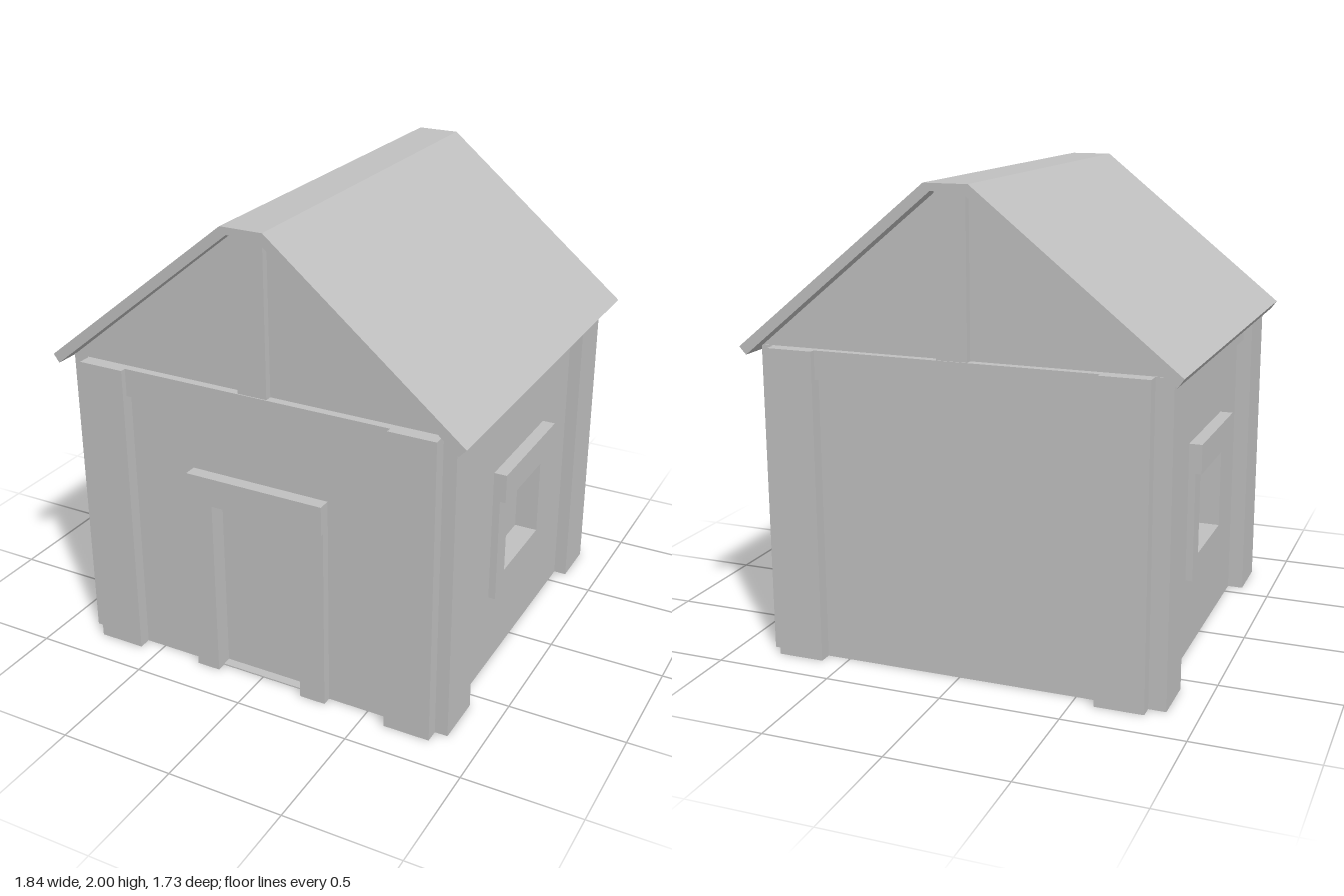
import * as THREE from 'three';

export function createModel() {
  const house = new THREE.Group();
  house.name = 'house';
  const gray = new THREE.MeshStandardMaterial({ color: 0xc0c0c0 });
  gray.name = 'plain gray';

  const add = (name, geometry, parent = house) => {
    const mesh = new THREE.Mesh(geometry, gray);
    mesh.name = name;
    parent.add(mesh);
    return mesh;
  };
  // Box given by its two opposite corners
  const block = (name, x0, x1, y0, y1, z0, z1, parent) => {
    const g = new THREE.BoxGeometry(x1 - x0, y1 - y0, z1 - z0);
    g.translate((x0 + x1) / 2, (y0 + y1) / 2, (z0 + z1) / 2);
    return add(name, g, parent);
  };
  const points = (list) => list.map(([x, y]) => new THREE.Vector2(x, y));
  const rect = (x0, x1, y0, y1) => points([[x0, y0], [x1, y0], [x1, y1], [x0, y1]]);
  // Extruded outline from z0 to z1, with an optional hole
  const slab = (name, outline, z0, z1, hole, parent) => {
    const shape = new THREE.Shape(outline);
    if (hole) shape.holes.push(new THREE.Path(hole));
    const g = new THREE.ExtrudeGeometry(shape, { depth: z1 - z0, bevelEnabled: false });
    g.translate(0, 0, z0);
    return add(name, g, parent);
  };

  const W = 0.8, H = 1.32;

  // Inner core closes the door and window recesses
  block('innerRoom', -0.73, 0.73, 0, H, -0.76, 0.76);
  block('floor', -W, W, 0, 0.006, -W, W);

  // Front wall with a door notch, plain back wall
  slab('frontWall', points([[-W, 0], [-0.195, 0], [-0.195, 0.805], [0.205, 0.805],
    [0.205, 0], [W, 0], [W, H], [-W, H]]), 0.76, W);
  block('backWall', -W, W, 0, H, -W, -0.76);

  // Door frame
  block('doorJambRight', -0.3, -0.195, 0, 0.805, W, 0.84);
  block('doorJambLeft', 0.205, 0.32, 0, 0.805, W, 0.84);
  block('doorHeader', -0.3, 0.32, 0.805, 0.93, W, 0.855);

  // Corner boards, beam and gable post on front and back
  for (const s of [1, -1]) {
    const end = new THREE.Group();
    end.name = s > 0 ? 'frontTrim' : 'backTrim';
    house.add(end);
    const face = (name, x0, x1, y0, y1, d0, d1) =>
      block(name, x0, x1, y0, y1, Math.min(s * d0, s * d1), Math.max(s * d0, s * d1), end);
    face('cornerBoardRight', -0.795, -0.59, 0, H, W, 0.855);
    face('cornerBoardLeft', 0.6, W, 0, H, W, 0.855);
    face('topBeam', -0.59, 0.6, 1.2, H, W, 0.83);
    face('gablePost', -0.06, 0.07, H, 1.98, W - 0.01, 0.825);
  }

  // Side walls, drawn facing +z and turned to face +x or -x
  for (const s of [1, -1]) {
    const side = new THREE.Group();
    side.name = s > 0 ? 'leftSide' : 'rightSide';
    side.rotation.y = s * Math.PI / 2;
    house.add(side);
    const out = s > 0 ? 0.855 : 0.868;
    // Horizontal span, reversed on the right side so both match in z
    const span = (a, b) => (s > 0 ? [a, b] : [-b, -a]);
    const opening = rect(...span(-0.185, 0.195), 0.435, 0.805);
    slab('sideWall', rect(-0.76, 0.76, 0, H), 0.73, W, opening, side);
    slab('windowFrame', rect(...span(-0.275, 0.28), 0.34, 0.806), W, 0.83, opening, side);
    block('windowHeader', ...span(-0.275, 0.28), 0.805, 0.93, W, 0.855, side);
    block('cornerBoardFront', ...span(-0.795, -0.57), 0, H, W, out, side);
    block('cornerBoardBack', ...span(0.585, W), 0, H, W, out, side);
    block('topBeam', ...span(-0.57, 0.585), 1.2, H, W, 0.83, side);
  }

  // Gable infill under the roof
  slab('gable', points([[-0.865, H], [0.855, H], [0.06, 1.975], [-0.055, 1.975]]), -0.795, 0.795);

  // Roof shell with a flat ridge
  slab('roof', points([[-0.92, 1.335], [-0.895, 1.3], [-0.06, 1.97], [0.067, 1.97],
    [0.89, 1.288], [0.92, 1.32], [0.095, 2], [-0.087, 2]]), -0.865, 0.865);

  return house;
}
